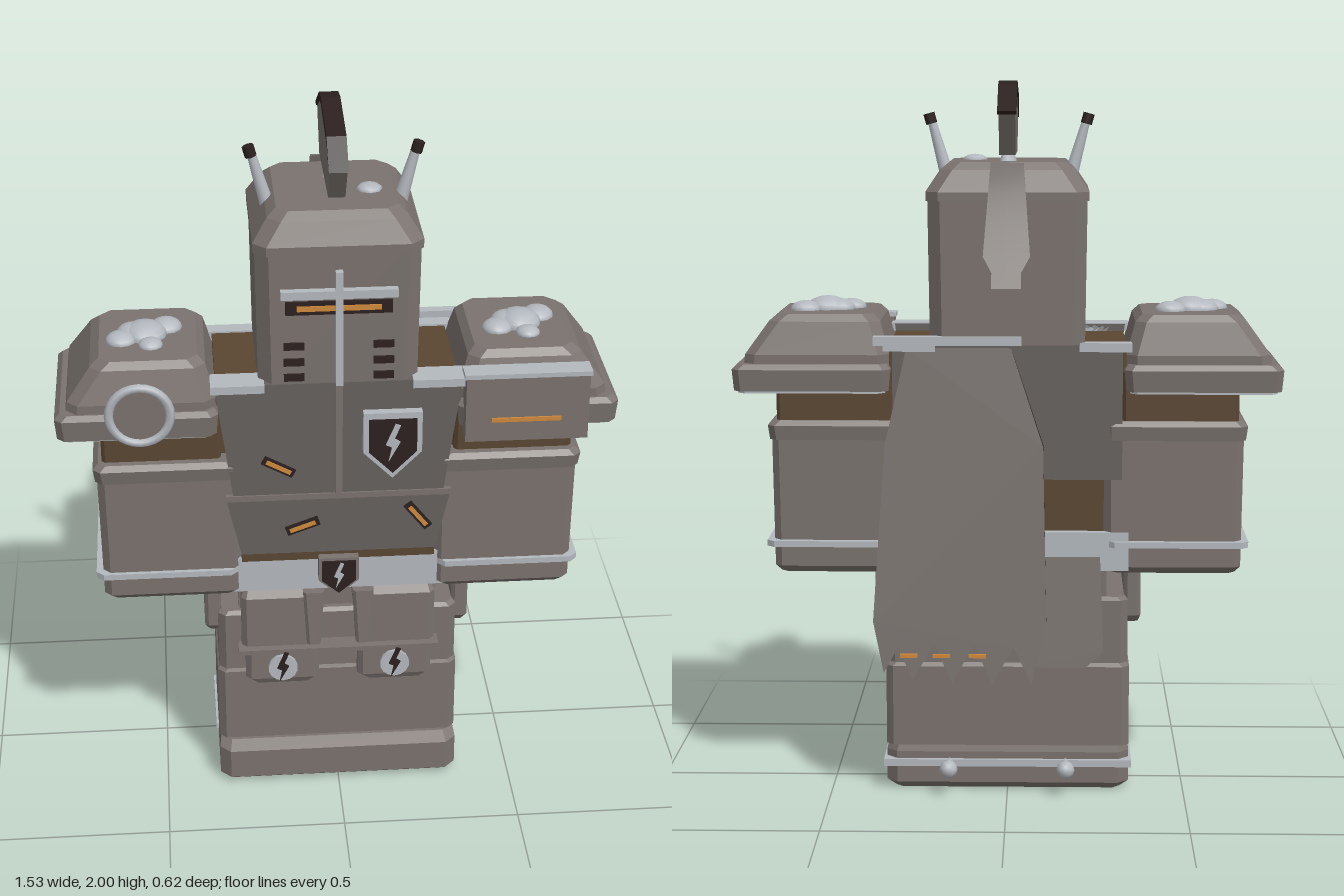
import * as THREE from 'three';

const mat = (name, color, side = THREE.FrontSide) => {
  const m = new THREE.MeshStandardMaterial({ color, side });
  m.name = name;
  return m;
};

export function createModel() {
  const model = new THREE.Group();
  const armour = mat('warm grey armour', 0x7a726e);
  const plateDark = mat('dark grey plate', 0x66615e);
  const silver = mat('silver trim', 0xb4b9bf);
  const dark = mat('dark maroon', 0x2c2020);
  const brown = mat('brown leather', 0x5a4632);
  const orange = mat('orange glow', 0xd08a3c);
  const cloth = mat('grey cloth', 0x726b67, THREE.DoubleSide);

  const add = (name, geo, m, x = 0, y = 0, z = 0, rz = 0) => {
    const mesh = new THREE.Mesh(geo, m);
    mesh.name = name;
    mesh.position.set(x, y, z);
    mesh.rotation.z = rz;
    model.add(mesh);
    return mesh;
  };

  // Box given by its limits
  const box = (name, m, x0, x1, y0, y1, z0, z1) =>
    add(name, new THREE.BoxGeometry(x1 - x0, y1 - y0, z1 - z0), m, (x0 + x1) / 2, (y0 + y1) / 2, (z0 + z1) / 2);

  // Loft through octagonal rings [y, x0, x1, z0, z1, corner cut]; s mirrors in x
  const stack = (name, m, rings, s = 1) => {
    const loops = rings.map(([y, a, b, z0, z1, c]) => {
      const [x0, x1] = s > 0 ? [a, b] : [-b, -a];
      return [[x1, z0 + c], [x1, z1 - c], [x1 - c, z1], [x0 + c, z1], [x0, z1 - c], [x0, z0 + c], [x0 + c, z0], [x1 - c, z0]]
        .map(([x, z]) => [x, y, z]);
    });
    const pos = [];
    const tri = (...p) => p.forEach(v => pos.push(...v));
    for (let i = 0; i < loops.length - 1; i++) {
      for (let j = 0; j < 8; j++) {
        const k = (j + 1) % 8, lo = loops[i], hi = loops[i + 1];
        tri(lo[j], hi[j], lo[k]);
        tri(lo[k], hi[j], hi[k]);
      }
    }
    const top = loops[loops.length - 1], bottom = loops[0];
    for (let j = 1; j < 7; j++) {
      tri(top[0], top[j + 1], top[j]);
      tri(bottom[0], bottom[j], bottom[j + 1]);
    }
    const geo = new THREE.BufferGeometry();
    geo.setAttribute('position', new THREE.Float32BufferAttribute(pos, 3));
    geo.computeVertexNormals();
    return add(name, geo, m);
  };

  const shape = pts => new THREE.Shape(pts.map(p => new THREE.Vector2(...p)));
  const plate = (name, m, pts, depth, x = 0, y = 0, z = 0) =>
    add(name, new THREE.ExtrudeGeometry(shape(pts), { depth, bevelEnabled: false }), m, x, y, z);

  // Legs and boots
  stack('boots', armour, [[0, -.32, .32, -.11, .26, .02], [.02, -.345, .345, -.13, .285, .03],
    [.11, -.345, .345, -.13, .285, .03], [.13, -.34, .34, -.125, .25, .03]]);
  stack('lowerLegs', armour, [[.13, -.345, .345, -.13, .24, .02], [.36, -.345, .345, -.13, .24, .02], [.37, -.335, .335, -.12, .235, .02]]);
  stack('upperLegs', armour, [[.37, -.34, .34, -.12, .235, .02], [.55, -.34, .34, -.12, .235, .02], [.56, -.33, .33, -.11, .225, .02]]);
  box('hips', armour, -.28, .28, .55, .66, -.1, .21);
  box('spurBand', silver, -.352, .352, .07, .09, -.142, .11);
  for (const x of [-.165, .165]) {
    const pin = add('spurPin', new THREE.CylinderGeometry(.012, .012, .07, 8), silver, x, .08, -.165);
    pin.rotation.x = Math.PI / 2;
    add('spurBall', new THREE.IcosahedronGeometry(.026, 1), silver, x, .08, -.2);
  }

  // Torso, belt and plates
  box('torso', brown, -.33, .33, .64, 1.28, -.11, .21);
  box('belt', silver, -.34, .34, .64, .75, -.135, .25);
  box('backPlate', plateDark, -.32, .32, .9, 1.28, -.135, -.1);
  box('bellyLining', brown, -.27, .27, .74, .78, .2, .255);
  plate('bellyPlate', plateDark, [[-.27, .77], [.27, .77], [.31, .95], [-.31, .95]], .06, 0, 0, .205);
  box('bellyRim', armour, -.31, .31, .945, .962, .2, .275);
  for (const s of [-1, 1]) {
    const pts = [[.008, .962], [.29, .962], [.335, 1.3], [.008, 1.3]].map(([x, y]) => [x * s, y]);
    plate('chestPlate', plateDark, s > 0 ? pts : pts.reverse(), .07, 0, 0, .2);
    box('collarTrim', silver, s > 0 ? .2 : -.345, s > 0 ? .345 : -.2, 1.28, 1.303, .2, .28);
    box('shoulderTrim', silver, s > 0 ? .2 : -.345, s > 0 ? .345 : -.2, 1.26, 1.285, -.145, -.1);
  }
  box('chestSeam', armour, -.01, .01, .962, 1.3, .2, .276);

  // Cracked shields and round pouch badges
  const crack = [[.006, .065], [.02, .06], [.004, .02], [.02, .01], [-.012, -.05], [-.003, -.006], [-.02, .002]];
  const scaled = (pts, a, b = a) => pts.map(([x, y]) => [x * a, y * b]);
  const shield = [[0, -.1], [.08, -.02], [.08, .1], [-.08, .1], [-.08, -.02]];
  plate('shieldRim', silver, shield, .03, .145, 1.115, .265);
  plate('shieldFace', dark, scaled(shield, .82), .006, .145, 1.115, .294);
  plate('shieldCrack', silver, crack, .005, .145, 1.12, .299);
  plate('buckleRim', armour, scaled(shield, .7, .6), .03, 0, .695, .25);
  plate('buckleFace', dark, scaled(shield, .6, .52), .006, 0, .695, .278);
  plate('buckleCrack', silver, scaled(crack, .7), .005, 0, .697, .283);

  // Glowing scratches
  for (const [x, y, a] of [[-.165, 1.05, -.5], [-.1, .86, .35], [.22, .88, -.9]]) {
    add('scratchEdge', new THREE.BoxGeometry(.095, .026, .008), dark, x, y, .272, a);
    add('scratchGlow', new THREE.BoxGeometry(.075, .012, .008), orange, x, y, .275, a);
  }

  // Hanging front pouches
  for (const s of [-1, 1]) {
    stack('tasset', armour, [[.45, .06, .275, .2, .265, .015], [.62, .04, .275, .2, .265, .015], [.64, .05, .265, .2, .25, .01]], s);
    stack('pouchStrap', armour, [[.47, .05, .09, .24, .28, .008], [.64, .04, .1, .24, .275, .008]], s);
    stack('pouch', armour, [[.34, .08, .24, .23, .27, .01], [.36, .055, .265, .23, .28, .015], [.46, .055, .265, .23, .28, .015]], s);
    const disc = add('pouchBadge', new THREE.CylinderGeometry(.042, .042, .012, 14), silver, s * .16, .4, .284);
    disc.rotation.x = Math.PI / 2;
    plate('badgeCrack', dark, scaled(crack, .85), .005, s * .16, .4, .289);
    stack('hipGuard', armour, [[.48, .33, .37, -.07, .19, .01], [.5, .33, .377, -.085, .205, .01], [.65, .33, .377, -.085, .205, .01]], s);
  }
  box('pouchRail', armour, -.285, .285, .448, .462, .22, .288);

  // Arms and pauldrons
  for (const s of [-1, 1]) {
    stack('upperArm', brown, [[.9, .32, .645, -.125, .24, .01], [1.2, .32, .645, -.125, .24, .01]], s);
    stack('gauntlet', armour, [[.63, .29, .64, -.11, .24, .02], [.65, .27, .655, -.13, .26, .02], [1.03, .27, .66, -.13, .26, .02]], s);
    stack('gauntletLip', armour, [[1.01, .27, .665, -.135, .265, .02], [1.05, .27, .67, -.14, .272, .02], [1.065, .29, .655, -.13, .26, .02]], s);
    stack('gauntletRail', silver, [[.708, .28, .675, -.15, .272, .02], [.725, .28, .675, -.15, .272, .02]], s);
    stack('pauldronUnderside', silver, [[1.143, .34, .75, -.15, .26, .02], [1.15, .34, .75, -.15, .26, .02]], s);
    stack('pauldronBrim', armour, [[1.15, .33, .76, -.16, .27, .02], [1.21, .325, .765, -.165, .275, .02], [1.225, .335, .75, -.155, .265, .02]], s);
    stack('pauldronDome', armour, [[1.22, .33, .735, -.145, .26, .03], [1.25, .33, .73, -.145, .26, .03],
      [1.34, .355, .665, -.12, .235, .03], [1.36, .375, .64, -.105, .22, .03]], s);
    // Cluster of flattened studs
    for (const [dx, dz, r] of [[0, 0, .062], [.058, -.04, .045], [-.065, .035, .043], [.015, .07, .034], [-.03, -.005, .05]]) {
      add('shoulderStud', new THREE.SphereGeometry(r, 12, 8), silver, s * .515 + dx, 1.36, .055 + dz).scale.y = .6;
    }
  }
  const disc = add('roundBadge', new THREE.CylinderGeometry(.08, .08, .03, 24), armour, -.535, 1.235, .283);
  disc.rotation.x = Math.PI / 2;
  add('badgeRing', new THREE.TorusGeometry(.082, .013, 6, 28), silver, -.535, 1.235, .296);
  box('shoulderPlate', armour, .34, .675, 1.125, 1.315, .25, .308);
  box('shoulderPlateTrim', silver, .335, .68, 1.315, 1.328, .25, .312);
  box('shoulderGlow', orange, .41, .6, 1.184, 1.196, .306, .313);

  // Helmet with visor
  stack('helmet', armour, [[1.28, -.215, .215, -.16, .265, .035], [1.69, -.22, .22, -.165, .27, .035]]);
  stack('helmetCap', armour, [[1.675, -.225, .225, -.165, .278, .035], [1.7, -.225, .225, -.165, .278, .035],
    [1.76, -.185, .185, -.14, .25, .035], [1.78, -.16, .16, -.12, .225, .03]]);
  box('visorSlit', dark, -.142, .142, 1.505, 1.542, .268, .276);
  box('visorGlow', orange, -.112, .112, 1.516, 1.531, .27, .279);
  box('visorBar', silver, -.155, .155, 1.555, 1.578, .26, .29);
  box('visorSpine', silver, -.01, .01, 1.3, 1.63, .26, .29);
  for (const s of [-1, 1]) {
    for (const y of [1.32, 1.365, 1.412]) {
      add('breathSlot', new THREE.BoxGeometry(.055, .02, .008), dark, s * .12, y, .27);
    }
    add('horn', new THREE.CylinderGeometry(.012, .022, .19, 10), silver, s * .193, 1.8, .085, -s * .27);
    add('hornTip', new THREE.CylinderGeometry(.016, .016, .03, 8), dark, s * .222, 1.895, .085, -s * .27);
  }
  add('helmetStud', new THREE.SphereGeometry(.036, 8, 6), silver, .095, 1.778, .085).scale.y = .5;
  add('crestPost', new THREE.ConeGeometry(.03, .08, 8), silver, 0, 1.805, -.01);

  // Crest: side profile in (-z, y), with a dark upper edge
  const crest = [[-.19, 1.8], [.13, 1.8], [.205, 1.915], [.08, 1.975], [.02, 1.985], [-.18, 1.95], [-.255, 1.895]];
  const ridge = [[-.258, 1.895], [-.18, 1.945], [.02, 1.98], [.08, 1.972], [.205, 1.91], [.215, 1.92], [.09, 1.99], [.02, 2], [-.18, 1.965]];
  plate('crest', armour, crest, .045, -.0225, 0, 0).rotation.y = Math.PI / 2;
  plate('crestRidge', dark, ridge, .052, -.026, 0, 0).rotation.y = Math.PI / 2;

  // Curved ribbon behind the helmet
  const ribbon = new THREE.BoxGeometry(1, 1, .012, 2, 8, 1);
  const p = ribbon.attributes.position;
  for (let i = 0; i < p.count; i++) {
    const t = .5 - p.getY(i), x = p.getX(i);
    const w = t > .85 ? .08 : .09 + .05 * t;
    p.setXYZ(i, x * w, 1.78 - .33 * t, -.168 - .135 * Math.pow(t, 1.4) + p.getZ(i));
  }
  ribbon.computeVertexNormals();
  add('ribbon', ribbon, cloth);

  // Tattered cape hung from a bar, dark inside and along the edge
  const capePts = [[.28, 1.27], [-.01, 1.27], [-.1, 1], [-.11, .52], [-.07, .35], [-.02, .45], [.04, .35], [.09, .46],
    [.15, .35], [.2, .46], [.26, .36], [.3, .45], [.34, .38], [.37, .52], [.34, 1]].reverse();
  const slant = (geo, z0, y0, k) => {
    const q = geo.attributes.position;
    for (let i = 0; i < q.count; i++) q.setZ(i, q.getZ(i) + z0 - (y0 - q.getY(i)) * k);
    geo.computeVertexNormals();
    return geo;
  };
  add('capeLining', slant(new THREE.ExtrudeGeometry(shape(capePts), { depth: .03, bevelEnabled: false }), -.138, 1.27, .15), dark);
  add('cape', slant(new THREE.ShapeGeometry(shape(capePts)), -.141, 1.27, .15), cloth);
  for (const x of [.08, .18, .27]) box('capeEmber', orange, x - .024, x + .024, .425, .435, -.283, -.275);
  box('capeBar', silver, -.04, .37, 1.28, 1.305, -.175, -.145);
  const flap = [[-.27, .42], [-.22, .375], [-.06, .375], [0, .45], [0, .68], [-.26, .68]];
  add('backFlap', slant(new THREE.ExtrudeGeometry(shape(flap), { depth: .01, bevelEnabled: false }), -.145, .68, .16), cloth);

  return model;
}
